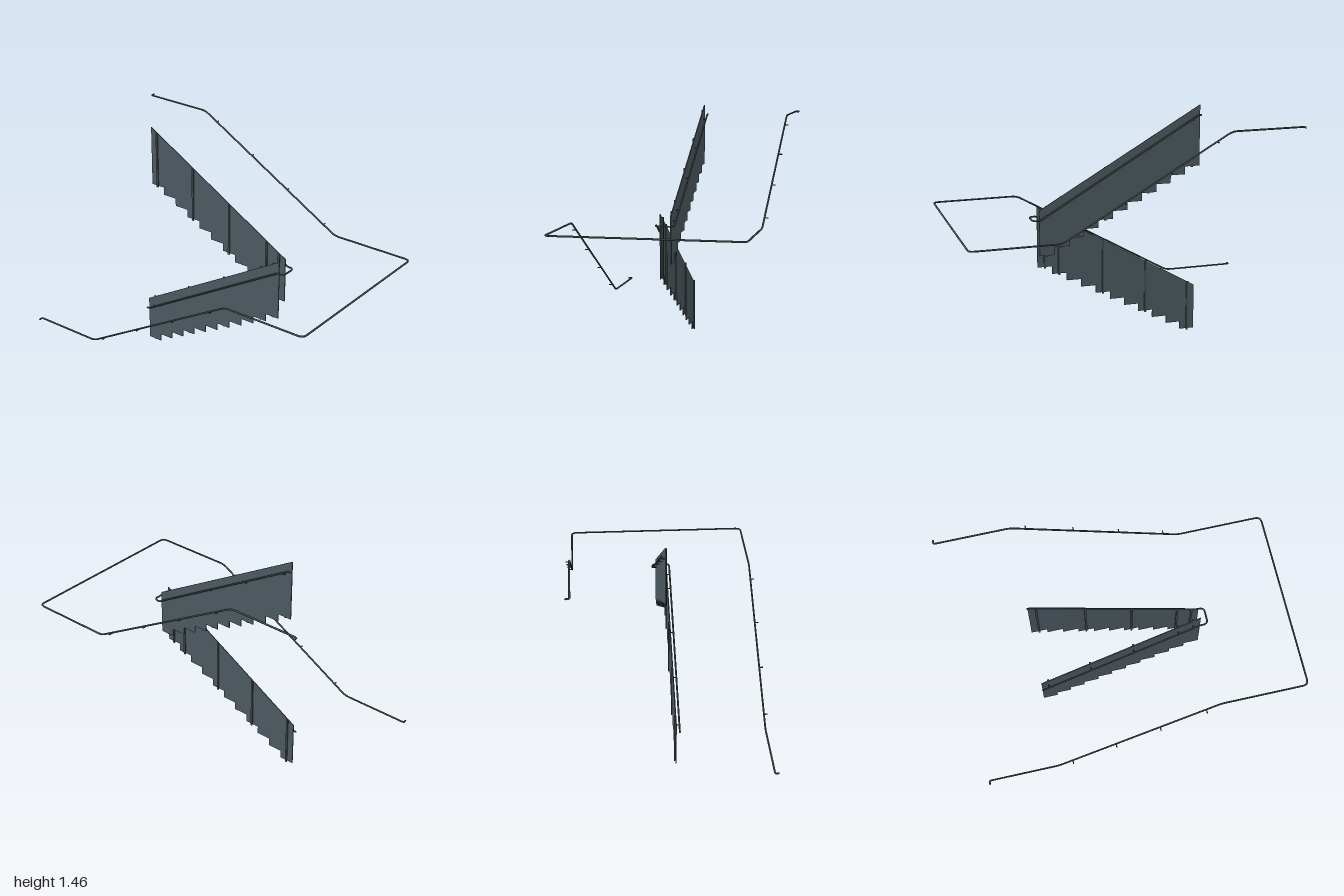
import * as THREE from 'three';

export function createModel() {
  const group = new THREE.Group();
  const panelMat = new THREE.MeshStandardMaterial({ color: 0x4d5a61 });
  panelMat.name = 'slate panel';
  const railMat = new THREE.MeshStandardMaterial({ color: 0x434e4e });
  railMat.name = 'dark steel';

  const X0 = -0.55, X1 = 0.46, STEPS = 11;
  const run = (X1 - X0) / STEPS, rise = 0.049;
  const RAIL_R = 0.0055;

  const add = (parent, name, geometry, material, x = 0, y = 0, z = 0) => {
    const mesh = new THREE.Mesh(geometry, material);
    mesh.name = name;
    mesh.position.set(x, y, z);
    parent.add(mesh);
    return mesh;
  };

  // Tube along straight runs with rounded bends; each point is [x, y, z, bend]
  const addRail = (name, points) => {
    const path = new THREE.CurvePath();
    path.arcLengthDivisions = 1500;
    const v = points.map((p) => new THREE.Vector3(p[0], p[1], p[2]));
    let from = v[0];
    for (let i = 1; i < v.length - 1; i++) {
      const bend = points[i][3];
      const a = v[i].clone().add(v[i - 1].clone().sub(v[i]).setLength(bend));
      const b = v[i].clone().add(v[i + 1].clone().sub(v[i]).setLength(bend));
      path.add(new THREE.LineCurve3(from, a));
      path.add(new THREE.QuadraticBezierCurve3(a, v[i], b));
      from = b;
    }
    path.add(new THREE.LineCurve3(from, v[v.length - 1]));
    const rail = new THREE.Group();
    rail.name = name;
    add(rail, 'railTube', new THREE.TubeGeometry(path, 600, RAIL_R, 8, false), railMat);
    for (const end of [v[0], v[v.length - 1]])
      add(rail, 'railEnd', new THREE.SphereGeometry(RAIL_R, 8, 6), railMat, end.x, end.y, end.z);
    group.add(rail);
  };

  // Rail heights along the lower (rising) and upper (returning) flights
  const LOW = 0.235, MID = 0.815, HIGH = 1.397;
  const lowerRailY = (x) => LOW + (MID - LOW) * (x - X0) / (X1 - X0);
  const upperRailY = (x) => HIGH + (MID - HIGH) * (x - X0) / (X1 - X0);

  const IN = 0.053, OUT = 0.562, END = 0.583;
  addRail('innerHandrail', [
    [X0, LOW, IN],
    [X0 + 0.015, LOW, IN, 0.007],
    [X1, MID, IN, 0.012],
    [0.503, MID, IN, 0.03],
    [0.503, MID, -IN, 0.03],
    [X1, MID, -IN, 0.012],
    [X0 + 0.015, HIGH, -IN, 0.007],
    [X0, HIGH, -IN],
  ]);
  addRail('outerHandrail', [
    [-0.994, LOW, END],
    [-0.994, LOW, OUT, 0.006],
    [X0, LOW, OUT, 0.03],
    [X1, MID, OUT, 0.03],
    [0.992, MID, OUT, 0.035],
    [0.992, MID, -OUT, 0.035],
    [X1, MID, -OUT, 0.03],
    [X0, HIGH, -OUT, 0.03],
    [-0.994, HIGH, -OUT, 0.006],
    [-0.994, HIGH, -END],
  ]);

  // Bracket rod running in z from a handrail to its support
  const addBracket = (x, y, z0, z1) => {
    const rod = new THREE.CylinderGeometry(0.0035, 0.0035, Math.abs(z1 - z0), 8).rotateX(Math.PI / 2);
    add(group, 'railBracket', rod, railMat, x, y, (z0 + z1) / 2);
  };

  const flights = [
    { side: 1, bottom: 0.01, dir: 1, topLeft: 0.295, topRight: 0.88, railY: lowerRailY },
    { side: -1, bottom: 1.08, dir: -1, topLeft: 1.457, topRight: 0.872, railY: upperRailY },
  ];
  for (const f of flights) {
    // Balustrade panel with a stepped lower edge
    const shape = new THREE.Shape();
    shape.moveTo(X0, f.topLeft);
    for (let i = 0; i < STEPS; i++) {
      const y = f.bottom + f.dir * i * rise;
      shape.lineTo(X0 + i * run, y);
      shape.lineTo(X0 + (i + 1) * run, y);
    }
    shape.lineTo(X1, f.topRight);
    shape.closePath();
    const t = 0.006;
    const panel = new THREE.ExtrudeGeometry(shape, { depth: t, bevelEnabled: false });
    add(group, 'balustradePanel', panel, panelMat, 0, 0, f.side * 0.031 - t / 2);

    // Posts on the inner face of the panel, topped by its slope
    for (const x of [-0.505, -0.228, 0.047, 0.325, 0.415]) {
      const step = Math.floor((x - X0) / run);
      const low = f.bottom + f.dir * step * rise - 0.008;
      const high = f.topLeft + (f.topRight - f.topLeft) * (x + 0.006 - X0) / (X1 - X0);
      add(group, 'post', new THREE.BoxGeometry(0.012, high - low, 0.007), railMat,
        x, (high + low) / 2, f.side * 0.0245);
      addBracket(x, f.railY(x) - 0.004, f.side * 0.028, f.side * IN);
    }

    // Wall brackets of the outer handrail
    for (const x of [-0.46, -0.183, 0.092, 0.37])
      addBracket(x, f.railY(x) - 0.004, f.side * OUT, f.side * 0.585);
  }
  return group;
}
